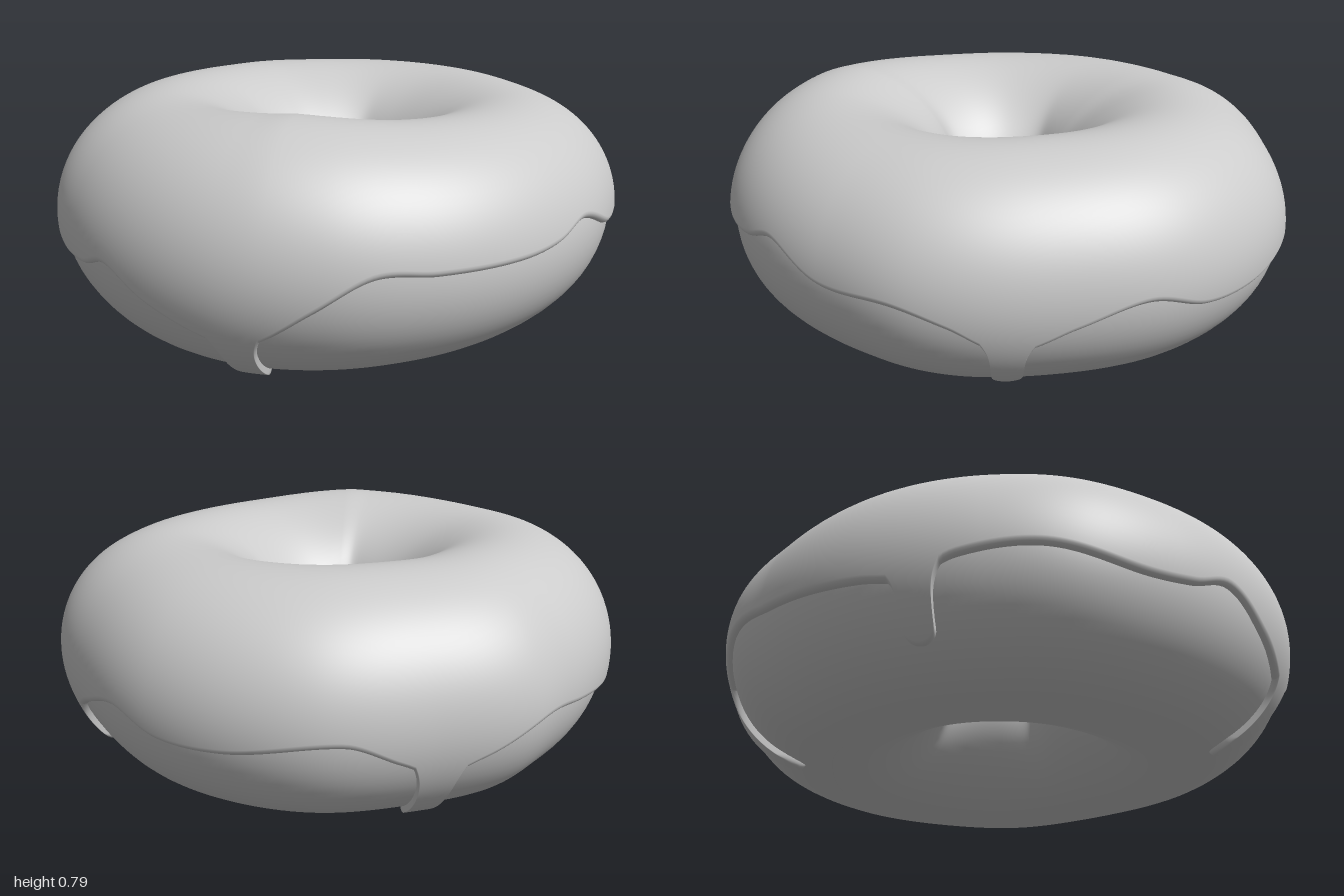
import * as THREE from 'three';

const DEG = Math.PI / 180;
const ICING = 0.02; // icing thickness
const THROAT = 0.22; // hole radius before the pinch at its narrowest

// Smooth closed curve through [degrees, value] pairs
function around(keys) {
  const n = keys.length;
  const at = (i) => {
    const turn = Math.floor(i / n);
    const [d, v] = keys[i - turn * n];
    return [d + turn * 360, v];
  };
  const slope = (i) => (at(i + 1)[1] - at(i - 1)[1]) / (at(i + 1)[0] - at(i - 1)[0]);
  return (a) => {
    const d = (((a / DEG) % 360) + 360) % 360;
    let i = n - 1;
    while (i >= 0 && at(i)[0] > d) i--;
    const [d0, v0] = at(i), [d1, v1] = at(i + 1);
    const w = d1 - d0, t = (d - d0) / w, t2 = t * t, t3 = t2 * t;
    return v0 * (2 * t3 - 3 * t2 + 1) + v1 * (3 * t2 - 2 * t3)
      + w * (slope(i) * (t3 - 2 * t2 + t) + slope(i + 1) * (t3 - t2));
  };
}

// Uneven ring: angle 0 is the front, 90 the model's left (+x)
const outerRadius = around([[0, 1], [20, 0.988], [38, 0.97], [62, 0.96], [90, 0.963], [108, 0.977],
  [135, 0.955], [160, 0.985], [180, 1], [191, 1], [210, 0.977], [229, 0.995], [243, 0.968],
  [270, 0.968], [290, 0.975], [307, 0.99], [325, 0.985]]);
const topHeight = around([[0, 0.788], [10, 0.792], [45, 0.765], [90, 0.757], [180, 0.768], [270, 0.775], [320, 0.77]]);
const bottomHeight = around([[0, 0.006], [50, 0.028], [80, 0.04], [120, 0.025], [180, 0.018], [270, 0.016], [330, 0.004]]);
// Diamond-shaped hole with rounded corners
const holeRadius = (a) => 0.21 / (Math.hypot(Math.cos(a), 0.1) + Math.hypot(Math.sin(a), 0.1)) - 0.01 * Math.sin(a);

// Height of the icing's wavy lower edge
const edgeHeight = around([[4, 0.19], [10, 0.23], [18, 0.32], [28, 0.415], [39, 0.41], [57, 0.41], [66, 0.425],
  [76, 0.462], [90, 0.387], [105, 0.378], [115, 0.325], [122, 0.26], [128, 0.25], [137, 0.31], [150, 0.37],
  [162, 0.32], [175, 0.32], [195, 0.36], [205, 0.29], [212, 0.24], [220, 0.28], [233, 0.36], [245, 0.345],
  [268, 0.3], [278, 0.28], [286, 0.33], [300, 0.355], [317, 0.31], [328, 0.32], [337, 0.36], [348, 0.28]]);
const drips = [
  { angle: 4, tip: 0.02 },
  { angle: 125, tip: 0.1 },
  { angle: 212, tip: 0.03 },
  { angle: 278.5, tip: 0.12 },
].map((d) => ({ a: d.angle * DEG, tip: d.tip }));
const DRIP_HALF = 0.053, FLARE = 0.03, CORNER = 0.032;

// Section of the dough at one angle, grown by an offset
function section(a, offset = 0) {
  const ro = outerRadius(a) - ICING, ri = THROAT + ICING;
  const top = topHeight(a) - ICING, bottom = bottomHeight(a);
  return {
    R: (ro + ri) / 2, rx: (ro - ri) / 2 + offset,
    yc: (top + bottom) / 2, ry: (top - bottom) / 2 + offset,
  };
}
function surfacePoint(a, phi, offset) {
  const s = section(a, offset), c = Math.cos(phi);
  const pinch = (THROAT - holeRadius(a)) * Math.max(0, -c) ** 3;
  const r = s.R + s.rx * c - pinch;
  return new THREE.Vector3(r * Math.sin(a), s.yc + s.ry * Math.sin(phi), r * Math.cos(a));
}
function surfaceNormal(a, phi, offset) {
  const e = 0.002;
  const across = surfacePoint(a + e, phi, offset).sub(surfacePoint(a - e, phi, offset));
  const along = surfacePoint(a, phi + e, offset).sub(surfacePoint(a, phi - e, offset));
  return across.cross(along).normalize();
}

// Grid of columns closed around the ring; place(column, j) gives tube angle,
// offset and whether the point lies on the plain smooth surface
function ringMesh(name, columns, rowCount, place, closeRows) {
  const positions = [], index = [], smooth = [], n = columns.length;
  columns.forEach((column) => {
    for (let j = 0; j < rowCount; j++) {
      const { phi, offset, plain } = place(column, j);
      positions.push(...surfacePoint(column.a, phi, offset));
      smooth.push(plain ? surfaceNormal(column.a, phi, offset) : null);
    }
  });
  for (let i = 0; i < n; i++) {
    for (let j = 0; j < (closeRows ? rowCount : rowCount - 1); j++) {
      const k = (j + 1) % rowCount, c = i * rowCount, d = ((i + 1) % n) * rowCount;
      index.push(c + j, d + j, d + k, c + j, d + k, c + k);
    }
  }
  const geometry = new THREE.BufferGeometry();
  geometry.setAttribute('position', new THREE.Float32BufferAttribute(positions, 3));
  geometry.setIndex(index);
  geometry.computeVertexNormals();
  smooth.forEach((v, i) => v && geometry.attributes.normal.setXYZ(i, v.x, v.y, v.z));
  const mesh = new THREE.Mesh(geometry, new THREE.MeshStandardMaterial({ color: 0xcccccc, side: THREE.DoubleSide }));
  mesh.name = name;
  return mesh;
}

// Tube angle on the outside of the ring at a height
function tubeAngle(a, y) {
  const s = section(a);
  return Math.asin(THREE.MathUtils.clamp((y - s.yc) / s.ry, -1, 1));
}

// Icing columns: even spacing, with finer ones across each drip and its flared sides
function icingColumns() {
  const reach = DRIP_HALF + FLARE;
  const apart = (a, b) => Math.abs(Math.atan2(Math.sin(a - b), Math.cos(a - b)));
  const columns = [];
  for (let i = 0; i < 360; i++) {
    const a = i * DEG;
    if (drips.every((d) => apart(a, d.a) > reach + 0.004)) columns.push({ a, y: edgeHeight(a) });
  }
  for (const d of drips) {
    // Rounded tip
    for (let k = -8; k <= 8; k++) {
      const t = (k / 8) * Math.PI / 2;
      columns.push({ a: d.a + DRIP_HALF * Math.sin(t), y: d.tip + CORNER * (1 - Math.cos(t)) });
    }
    // Sides, steep below and flaring into the edge above
    for (const side of [-1, 1]) {
      for (let k = 1; k <= 12; k++) {
        const t = k / 12, a = d.a + side * (DRIP_HALF + 0.003 * t + (FLARE - 0.003) * t ** 5);
        columns.push({ a, y: THREE.MathUtils.lerp(d.tip + CORNER, edgeHeight(a), t) });
      }
    }
  }
  columns.forEach((c) => {
    c.start = tubeAngle(c.a, c.y);
    c.base = tubeAngle(c.a, edgeHeight(c.a));
  });
  return columns.sort((p, q) => p.a - q.a);
}

export function createModel() {
  const model = new THREE.Group();
  model.name = 'doughnut';

  // Dough ring
  const even = Array.from({ length: 180 }, (_, i) => ({ a: i * 2 * DEG }));
  const doughRows = 72;
  model.add(ringMesh('dough', even, doughRows,
    (_, j) => ({ phi: (j / doughRows) * 2 * Math.PI, offset: 0, plain: true }), true));

  // Icing shell: rounded lip, drip rows, rows over the top, rounded lip in the hole
  const lip = 5, dripRows = 14, body = 48, rows = lip + dripRows + body + lip;
  const lipWidth = 0.06;
  const { lerp } = THREE.MathUtils;
  model.add(ringMesh('icing', icingColumns(), rows, (c, j) => {
    const end = Math.PI + 0.14 + 0.1 * Math.sin(2 * c.a + 1);
    const fromEdge = Math.min(j, rows - 1 - j);
    if (fromEdge < lip) {
      const th = -0.25 + (fromEdge / lip) * (Math.PI / 2 + 0.25);
      const inset = lipWidth * (1 - Math.cos(Math.max(0, th)));
      return { phi: j < lip ? c.start + inset : end - inset, offset: ICING * Math.sin(th), plain: false };
    }
    const k = j - lip;
    const phi = k < dripRows
      ? lerp(c.start, c.base, k / dripRows) + lipWidth
      : lerp(c.base + lipWidth, end - lipWidth, (k - dripRows) / (body - 1));
    return { phi, offset: ICING, plain: true };
  }, false));

  return model;
}
